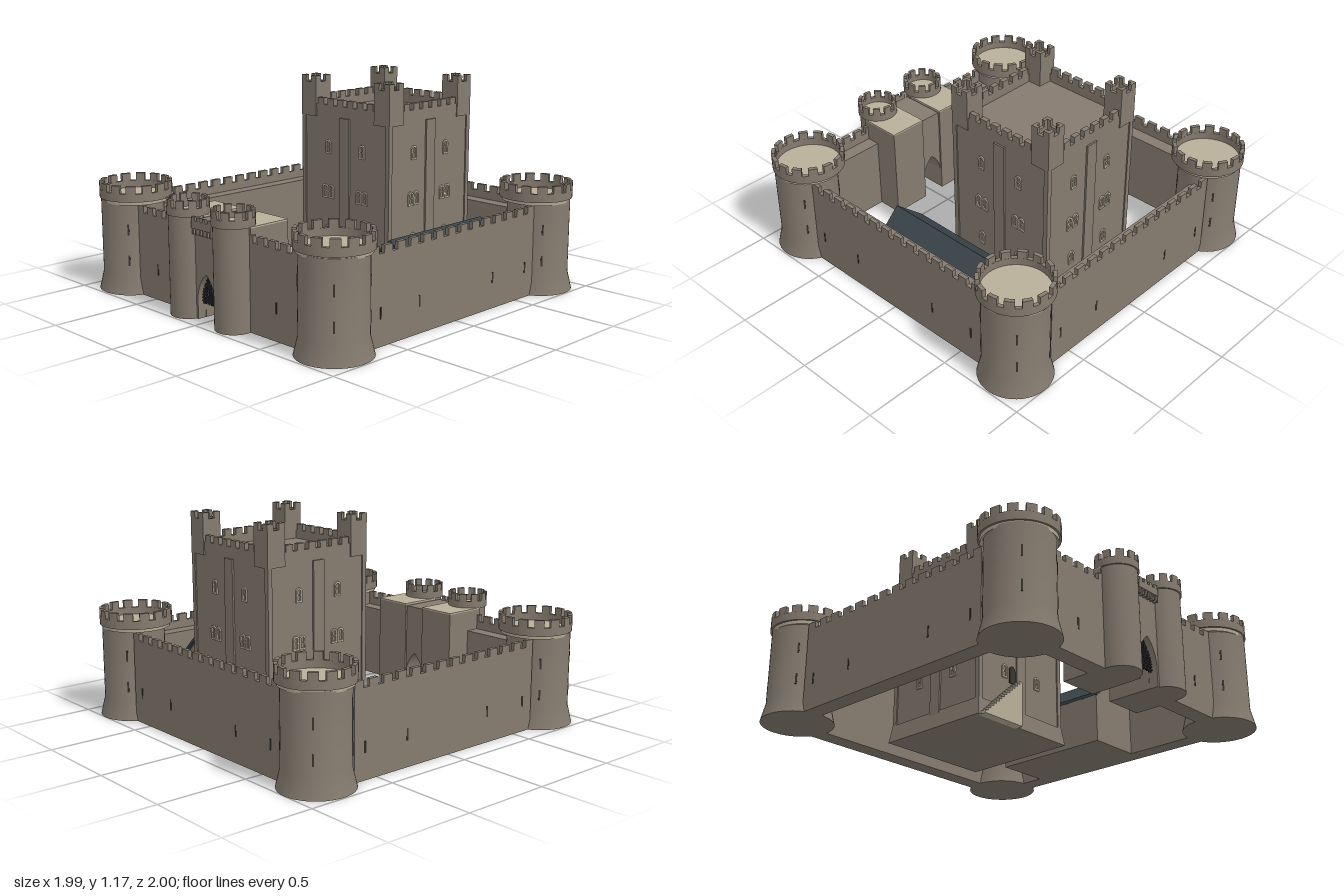
import * as THREE from 'three';
import { toCreasedNormals } from 'three/addons/utils/BufferGeometryUtils.js';

const material = (name, color) => Object.assign(new THREE.MeshStandardMaterial({ color }), { name });

export function createModel() {
  const stone = material('stone', 0x857b6f);
  const pale = material('pale stone', 0xb9af99);
  const slate = material('slate', 0x3a444a);
  const dark = material('dark opening', 0x393530);
  const iron = material('iron', 0x2b2d2f);
  const castle = new THREE.Group();
  castle.name = 'castle';

  const add = (parent, name, geometry, mat, x = 0, y = 0, z = 0) => {
    const mesh = new THREE.Mesh(geometry, mat);
    mesh.name = name;
    mesh.position.set(x, y, z);
    parent.add(mesh);
    return mesh;
  };
  const group = (parent, name, x = 0, y = 0, z = 0, turn = 0) => {
    const g = new THREE.Group();
    g.name = name;
    g.position.set(x, y, z);
    g.rotation.y = turn;
    parent.add(g);
    return g;
  };
  // Box given by its lower and upper bounds
  const block = (parent, name, mat, x0, x1, y0, y1, z0, z1) =>
    add(parent, name, new THREE.BoxGeometry(x1 - x0, y1 - y0, z1 - z0), mat,
      (x0 + x1) / 2, (y0 + y1) / 2, (z0 + z1) / 2);
  const lathe = (points) => toCreasedNormals(
    new THREE.LatheGeometry(points.map(([r, y]) => new THREE.Vector2(r, y)), 40), 0.6);
  const extrude = (shape, depth) => new THREE.ExtrudeGeometry(shape, { depth, bevelEnabled: false, curveSegments: 8 });

  // Evenly spaced merlons along x
  const merlons = (parent, x0, x1, count, y0, y1, z0, z1) => {
    const pitch = (x1 - x0) / (count - 0.4);
    for (let i = 0; i < count; i++) {
      block(parent, 'merlon', stone, x0 + i * pitch, x0 + (i + 0.6) * pitch, y0, y1, z0, z1);
    }
  };

  // Round parapet with curved merlons
  const crown = (parent, rIn, rOut, y0, y1, y2, count) => {
    add(parent, 'parapet', lathe([[rIn, y0], [rOut, y0], [rOut, y1], [rIn, y1], [rIn, y0]]), stone);
    for (let i = 0; i < count; i++) {
      const a = (i / count) * Math.PI * 2, b = a + (Math.PI * 2 / count) * 0.6;
      const s = new THREE.Shape();
      s.absarc(0, 0, rOut, a, b, false);
      s.absarc(0, 0, rIn, b, a, true);
      const m = add(parent, 'merlon', extrude(s, y2 - y1), stone, 0, y1, 0);
      m.rotation.x = -Math.PI / 2;
      m.position.y = y1;
    }
  };

  // Corner towers
  for (const sx of [-1, 1]) for (const [bz, cz] of [[0.793, 0.778], [-0.803, -0.793]]) {
    const body = group(castle, 'cornerTower', sx * 0.797, 0, bz);
    add(body, 'towerBody', lathe([[0, 0], [0.197, 0], [0.173, 0.1], [0.173, 0.515], [0, 0.515]]), stone);
    for (let i = 0; i < 8; i++) {
      const slitArm = group(body, 'slitPair', 0, 0, 0, Math.PI / 4 * i);
      if (i % 2) for (const y of [0.19, 0.365]) {
        block(slitArm, 'arrowSlit', dark, -0.005, 0.005, y - 0.03, y + 0.03, 0.168, 0.175);
      }
    }
    const top = group(castle, 'towerTop', sx * 0.784, 0, cz);
    add(top, 'towerRoof', new THREE.CylinderGeometry(0.19, 0.187, 0.025, 40), pale, 0, 0.5155, 0);
    crown(top, 0.178, 0.2, 0.522, 0.568, 0.61, 14);
  }

  // Curtain walls, outer face toward local +z
  const curtain = (name, length, count, slits, x, z, turn) => {
    const wall = group(castle, name, x, 0, z, turn);
    const h = length / 2;
    block(wall, 'wallBody', stone, -h, h, 0, 0.42, -0.05, 0.05);
    block(wall, 'wallParapet', stone, -h, h, 0.42, 0.465, 0.028, 0.05);
    merlons(wall, -h, h, count, 0.465, 0.503, 0.028, 0.05);
    for (const s of slits) block(wall, 'arrowSlit', dark, s - 0.005, s + 0.005, 0.14, 0.2, 0.046, 0.052);
  };
  const sideSlits = [-0.57, -0.29, 0.29, 0.57];
  curtain('backWall', 1.28, 14, sideSlits, 0, -0.85, Math.PI);
  curtain('leftWall', 1.28, 14, sideSlits, 0.833, -0.005, Math.PI / 2);
  curtain('rightWall', 1.28, 14, sideSlits, -0.84, -0.005, -Math.PI / 2);
  for (const s of [-1, 1]) curtain('frontWall', 0.38, 5, [s * 0.025], s * 0.45, 0.82, 0);

  // Gatehouse: arched passage between two blocks and two round towers
  const gate = group(castle, 'gatehouse');
  const passage = new THREE.Shape();
  passage.moveTo(-0.11, 0);
  passage.lineTo(-0.07, 0);
  passage.lineTo(-0.07, 0.11);
  passage.quadraticCurveTo(-0.065, 0.2, 0, 0.25);
  passage.quadraticCurveTo(0.065, 0.2, 0.07, 0.11);
  passage.lineTo(0.07, 0);
  passage.lineTo(0.11, 0);
  passage.lineTo(0.11, 0.5);
  passage.lineTo(-0.11, 0.5);
  passage.closePath();
  add(gate, 'gatePassage', extrude(passage, 0.29), stone, 0, 0, 0.63);
  block(gate, 'passageRoof', stone, -0.066, 0.066, 0.5, 0.53, 0.63, 0.9);
  for (const s of [-1, 1]) {
    const x = s * 0.18;
    block(gate, 'gateBlock', stone, x - 0.112, x + 0.112, 0, 0.535, 0.62, 0.87);
    block(gate, 'gateBlockRoof', pale, x - 0.112, x + 0.112, 0.535, 0.543, 0.62, 0.87);
    const tower = group(gate, 'gateTower', x, 0, 0.885);
    add(tower, 'gateTowerBody', lathe([[0, 0], [0.104, 0], [0.104, 0.545], [0, 0.545]]), stone);
    add(tower, 'gateTowerRoof', new THREE.CylinderGeometry(0.098, 0.098, 0.01, 32), pale, 0, 0.547, 0);
    crown(tower, 0.093, 0.112, 0.54, 0.582, 0.623, 10);
  }
  // Overhanging parapet on corbels
  block(gate, 'gateParapet', stone, -0.08, 0.08, 0.488, 0.527, 0.932, 0.945);
  merlons(gate, -0.075, 0.075, 4, 0.527, 0.547, 0.932, 0.945);
  for (let i = 0; i < 6; i++) {
    const x = -0.07 + i * 0.028;
    block(gate, 'corbel', stone, x - 0.006, x + 0.006, 0.455, 0.49, 0.915, 0.943);
  }
  // Portcullis, bars clipped to the pointed arch
  const archTop = (x) => 0.11 + 0.14 * Math.pow(1 - Math.abs(x) / 0.071, 0.6);
  for (let i = -4; i <= 4; i++) {
    const x = i * 0.0145;
    block(gate, 'portcullisBar', iron, x - 0.003, x + 0.003, 0.08, archTop(x), 0.885, 0.891);
  }
  for (let y = 0.095; y < 0.24; y += 0.0155) {
    const w = y < 0.11 ? 0.07 : 0.071 * (1 - Math.pow((y - 0.11) / 0.14, 1 / 0.6));
    block(gate, 'portcullisRail', iron, -w, w, y - 0.003, y + 0.003, 0.885, 0.891);
  }

  // Keep
  const keep = group(castle, 'keep', 0.08, 0, -0.325);
  const half = 0.325;
  const plinth = add(keep, 'keepPlinth', new THREE.CylinderGeometry(0.332 * Math.SQRT2, 0.346 * Math.SQRT2, 0.1, 4, 1)
    .toNonIndexed(), stone, 0, 0.05, 0);
  plinth.geometry.computeVertexNormals();
  plinth.rotation.y = Math.PI / 4;
  block(keep, 'keepBody', stone, -half, half, 0, 0.975, -half, half);

  const archShape = (w, h) => {
    const s = new THREE.Shape();
    s.moveTo(-w, 0);
    s.lineTo(w, 0);
    s.lineTo(w, h - w);
    s.absarc(0, h - w, w, 0, Math.PI, false);
    s.closePath();
    return s;
  };
  const windowFrame = archShape(0.02, 0.078);
  windowFrame.holes.push(archShape(0.011, 0.058));
  windowFrame.holes[0].getPoints();
  const frameGeometry = (() => {
    const outer = archShape(0.02, 0.078);
    const inner = new THREE.Path(archShape(0.011, 0.058).getPoints(8).map((p) => p.add(new THREE.Vector2(0, 0.01))));
    outer.holes.push(inner);
    return extrude(outer, 0.008);
  })();
  const addWindow = (face, x, y) => {
    add(face, 'windowFrame', frameGeometry, pale, x, y, half);
    block(face, 'windowBar', pale, x - 0.012, x + 0.012, y + 0.036, y + 0.041, half, half + 0.006);
  };

  for (let i = 0; i < 4; i++) {
    const face = group(keep, 'keepSide', 0, 0, 0, i * Math.PI / 2);
    block(face, 'middleButtress', stone, -0.036, 0.036, 0, 0.96, half - 0.01, half + 0.01);
    block(face, 'cornerButtress', stone, -half - 0.007, -half + 0.02, 0, 0.955, half - 0.02, half + 0.007);
    block(face, 'keepParapet', stone, -0.24, 0.24, 0.97, 1.022, half - 0.025, half + 0.002);
    merlons(face, -0.21, 0.21, 6, 1.022, 1.058, half - 0.025, half + 0.002);
    for (const x of [-0.13, 0.13]) {
      addWindow(face, x, 0.752);
      addWindow(face, x - 0.022, 0.5);
      addWindow(face, x + 0.022, 0.5);
      addWindow(face, x, 0.27);
    }
    // Corner turret
    const turret = group(face, 'cornerTurret', 0.277, 0, 0.277);
    block(turret, 'turretBody', stone, -0.056, 0.056, 0.95, 1.115, -0.056, 0.056);
    for (let k = 0; k < 4; k++) {
      const side = group(turret, 'turretParapet', 0, 0, 0, k * Math.PI / 2);
      block(side, 'turretWall', stone, -0.056, 0.056, 1.11, 1.14, 0.038, 0.056);
      for (const s of [-1, 1]) {
        block(side, 'turretMerlon', stone, s * 0.037 - 0.019, s * 0.037 + 0.019, 1.138, 1.175, 0.038, 0.056);
      }
    }
  }

  // Stair up to the keep door
  const steps = 14;
  for (let i = 0; i < steps; i++) {
    const x = -0.245 + i * 0.0204;
    block(castle, 'stairStep', pale, x, x + 0.0204, 0, (i + 1) * 0.0182, 0, 0.052);
  }
  const door = add(castle, 'keepDoor', extrude(archShape(0.022, 0.1), 0.006), dark, 0.01, 0.25, 0.0);
  door.position.z = 0.001;

  // Hall with a gabled slate roof
  const hall = group(castle, 'hall');
  block(hall, 'hallBody', stone, 0.48, 0.785, 0, 0.27, -0.48, 0.21);
  const gable = new THREE.Shape([[0.48, 0.26], [0.78, 0.26], [0.632, 0.405]].map(([x, y]) => new THREE.Vector2(x, y)));
  add(hall, 'hallGable', extrude(gable, 0.69), stone, 0, 0, -0.48);
  const roof = new THREE.Shape([[0.46, 0.26], [0.632, 0.405], [0.785, 0.26], [0.785, 0.278], [0.632, 0.425], [0.46, 0.278]]
    .map(([x, y]) => new THREE.Vector2(x, y)));
  add(hall, 'hallRoof', extrude(roof, 0.73), slate, 0, 0, -0.5);

  return castle;
}
